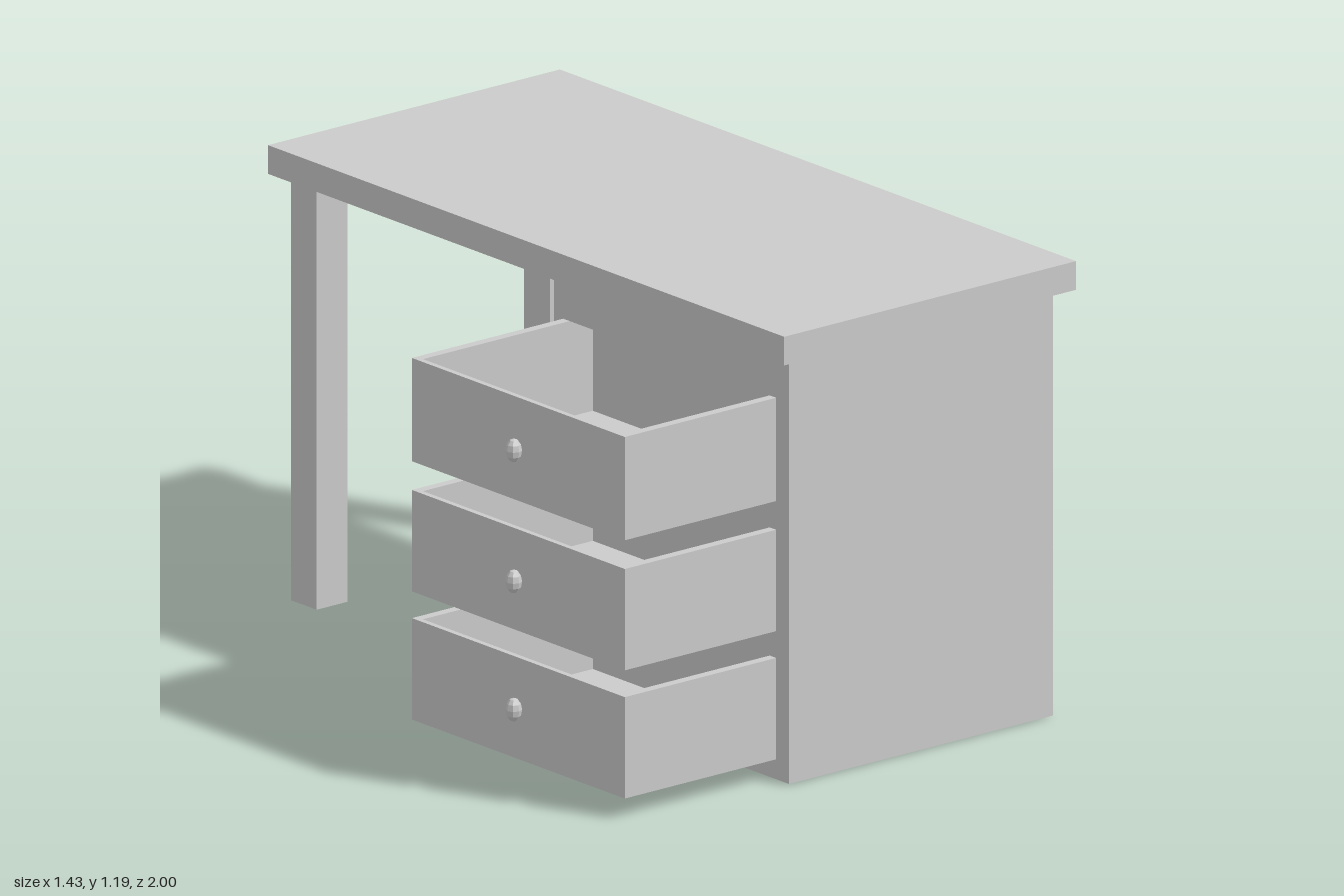
import * as THREE from 'three';

const grey = new THREE.MeshStandardMaterial({ color: 0xcccccc, flatShading: true });
const thin = new THREE.MeshStandardMaterial({ color: 0xcccccc, flatShading: true, side: THREE.DoubleSide });

// Box given by its lower and upper corners
function block(parent, name, [x0, y0, z0], [x1, y1, z1]) {
  const mesh = new THREE.Mesh(new THREE.BoxGeometry(x1 - x0, y1 - y0, z1 - z0), grey);
  mesh.position.set((x0 + x1) / 2, (y0 + y1) / 2, (z0 + z1) / 2);
  mesh.name = name;
  parent.add(mesh);
  return mesh;
}

function makeGroup(parent, name) {
  const group = new THREE.Group();
  group.name = name;
  parent.add(group);
  return group;
}

// Open tray with a knob on its -x face
function addDrawer(parent, name, y0, y1) {
  const drawer = makeGroup(parent, name);
  const x0 = -0.68, x1 = -0.1, z0 = 0.09, z1 = 0.915, wall = 0.025, face = 0.015;
  block(drawer, 'drawerFloor', [x0 + face, y0, z0 + wall], [x1 - face, y0 + 0.02, z1 - wall]);
  block(drawer, 'drawerFace', [x0, y0, z0], [x0 + face, y1, z1]);
  block(drawer, 'drawerBack', [x1 - face, y0, z0], [x1, y1, z1]);
  block(drawer, 'drawerSideInner', [x0 + face, y0, z0], [x1 - face, y1, z0 + wall]);
  block(drawer, 'drawerSideOuter', [x0 + face, y0, z1 - wall], [x1 - face, y1, z1]);

  const knob = new THREE.Mesh(new THREE.SphereGeometry(1, 8, 6), grey);
  knob.scale.set(0.021, 0.031, 0.021);
  knob.position.set(-0.695, (y0 + y1) / 2, (z0 + z1) / 2);
  knob.name = 'knob';
  drawer.add(knob);
}

export function createModel() {
  const desk = new THREE.Group();
  desk.name = 'desk';

  block(desk, 'tabletop', [-0.235, 1.115, -1], [0.71, 1.19, 1]);

  // Hollow square legs, open at the foot
  for (const [name, x] of [['rightLeg', -0.14], ['leftLeg', 0.615]]) {
    const tube = new THREE.CylinderGeometry(0.05 * Math.SQRT2, 0.05 * Math.SQRT2, 1.115, 4, 1, true);
    const leg = new THREE.Mesh(tube.rotateY(Math.PI / 4), thin);
    leg.position.set(x, 1.115 / 2, -0.915);
    leg.name = name;
    desk.add(leg);
  }

  // Cabinet walls, open underneath
  const cabinet = makeGroup(desk, 'cabinet');
  const x0 = -0.19, x1 = 0.665, z0 = 0.055, z1 = 0.965, floor = 0.003, top = 1.115, t = 0.025;
  block(cabinet, 'frontWall', [x0, floor, z1 - t], [x1, top, z1]);
  block(cabinet, 'backWall', [x0, floor, z0], [x1, top, z0 + t]);
  block(cabinet, 'sideWall', [x1 - t, floor, z0 + t], [x1, top, z1 - t]);

  // Drawer frame: one panel with an opening for each drawer
  const drawers = [[0.055, 0.32], [0.39, 0.655], [0.73, 1.0]];
  const rect = (shape, a0, b0, a1, b1) =>
    shape.moveTo(a0, b0).lineTo(a1, b0).lineTo(a1, b1).lineTo(a0, b1).closePath();
  const panel = rect(new THREE.Shape(), z0 + t, floor, z1 - t, top);
  for (const [y0, y1] of drawers) panel.holes.push(rect(new THREE.Path(), 0.09, y0, 0.915, y1));
  const frame = new THREE.Mesh(
    new THREE.ExtrudeGeometry(panel, { depth: 0.015, bevelEnabled: false }), grey);
  frame.rotation.y = -Math.PI / 2;
  frame.position.x = x0 + 0.015;
  frame.name = 'drawerFrame';
  cabinet.add(frame);

  // Pulled-out drawers
  const names = ['bottomDrawer', 'middleDrawer', 'topDrawer'];
  drawers.forEach(([y0, y1], i) => addDrawer(desk, names[i], y0, y1));

  return desk;
}
